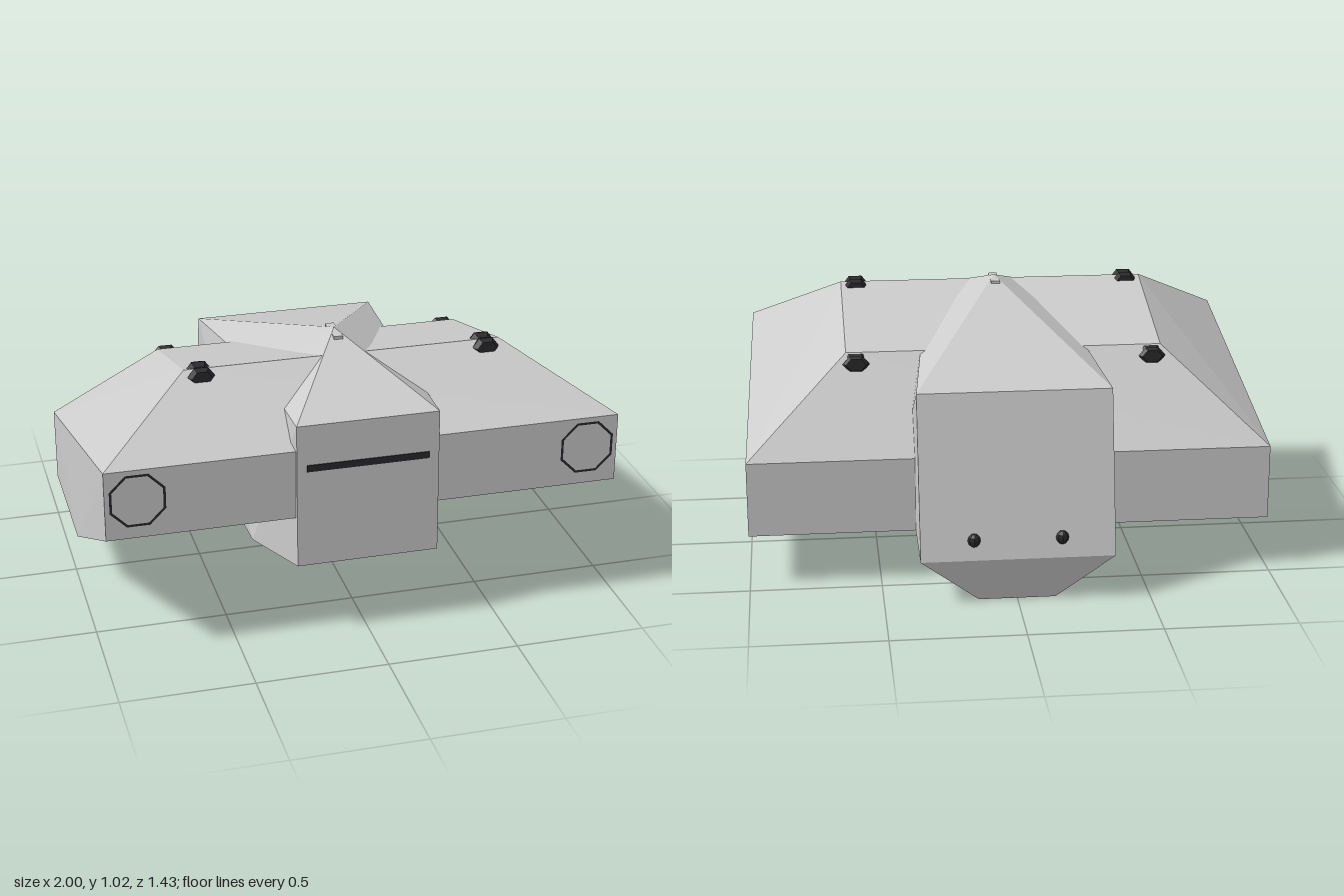
import * as THREE from 'three';
import { ConvexGeometry } from 'three/addons/geometries/ConvexGeometry.js';

const grey = new THREE.MeshStandardMaterial({ color: 0xcccccc, flatShading: true });
const dark = new THREE.MeshStandardMaterial({ color: 0x2a2a2c, flatShading: true });

function add(parent, name, geometry, material, x = 0, y = 0, z = 0) {
  const mesh = new THREE.Mesh(geometry, material);
  mesh.name = name;
  mesh.position.set(x, y, z);
  parent.add(mesh);
  return mesh;
}

// Wide faceted hull: corners given for one side, mirrored to the other
function wingGeometry() {
  const corners = [
    [0.975, 0.49, 0.7], [0.975, 0.76, 0.7],
    [0.61, 0.975, 0.36], [0.61, 0.835, -0.18],
    [1, 0.49, -0.445], [1, 0.2, -0.445], [1, 0.2, 0.1],
  ];
  return new ConvexGeometry(corners.flatMap(([x, y, z]) =>
    [new THREE.Vector3(x, y, z), new THREE.Vector3(-x, y, z)]));
}

// Central hull: lower case letters are the mirrored corners
function hullGeometry() {
  const corner = {
    A: [0, 1.025, 0.22],       // roof peak
    F: [0.27, 0.86, 0.705],    // front top
    G: [0.27, 0.295, 0.715],   // front bottom
    E: [0.285, 0.86, 0.2],     // eave
    L: [0.365, 0.245, 0.38],   // widest point
    B: [0.365, 0.785, -0.57],  // back top
    K: [0.365, 0.175, -0.71],  // back bottom
    N: [0.145, 0, 0.12],       // keel front
    M: [0.145, 0, -0.665],     // keel back
  };
  const sideFaces = ['AFE', 'AEB', 'FGL', 'FLE', 'ELB', 'LKB', 'GNL', 'LNMK'];
  const middleFaces = ['FfgG', 'GgnN', 'NnmM', 'MmkK', 'KkbB', 'AfF', 'ABb'];
  const swapCase = (c) => (c === c.toUpperCase() ? c.toLowerCase() : c.toUpperCase());
  const mirrored = sideFaces.map((f) => [...f].reverse().map(swapCase).join(''));
  const positions = [];
  const push = (c) => {
    const [x, y, z] = corner[c.toUpperCase()];
    positions.push(c === c.toUpperCase() ? x : -x, y, z);
  };
  for (const face of [...sideFaces, ...mirrored, ...middleFaces]) {
    for (let i = 1; i < face.length - 1; i++) [face[0], face[i], face[i + 1]].forEach(push);
  }
  const geometry = new THREE.BufferGeometry();
  geometry.setAttribute('position', new THREE.Float32BufferAttribute(positions, 3));
  geometry.computeVertexNormals();
  return geometry;
}

// Waisted six-sided knob lying along z
function knobGeometry(length, radius, height) {
  const h = length / 2;
  const profile = [[0, -h], [0.75, -h], [1, -h * 0.55], [0.72, 0], [1, h * 0.55], [0.75, h], [0, h]]
    .map(([r, y]) => new THREE.Vector2(r * radius, y));
  return new THREE.LatheGeometry(profile, 6, Math.PI / 6)
    .rotateX(Math.PI / 2)
    .scale(1, height / radius, 1);
}

export function createModel() {
  const model = new THREE.Group();
  model.name = 'module';

  add(model, 'wingHull', wingGeometry(), grey);
  add(model, 'centralHull', hullGeometry(), grey);

  // Slot on the front face
  add(model, 'frontSlot', new THREE.BoxGeometry(0.465, 0.026, 0.012), dark, 0, 0.69, 0.706);

  // Fittings mirrored on both sides
  for (const [side, s] of [['left', 1], ['right', -1]]) {
    const ring = new THREE.RingGeometry(0.101, 0.111, 8, 1, Math.PI / 8);
    add(model, side + 'FrontRing', ring, dark, s * 0.855, 0.64, 0.703);
    add(model, side + 'FrontKnob', knobGeometry(0.105, 0.052, 0.04), dark, s * 0.55, 0.955, 0.36);
    add(model, side + 'RearKnob', knobGeometry(0.06, 0.052, 0.036), dark, s * 0.572, 0.8, -0.203);
    const lamp = new THREE.SphereGeometry(0.027, 8, 6).scale(0.9, 1, 0.7);
    add(model, side + 'RearLamp', lamp, dark, s * 0.165, 0.25, -0.695);
  }

  // Small studs either side of the roof peak
  for (const [name, z] of [['frontStud', 0.27], ['backStud', 0.17]]) {
    add(model, name, new THREE.BoxGeometry(0.035, 0.025, 0.035), grey, 0, 1.002, z);
  }
  return model;
}
